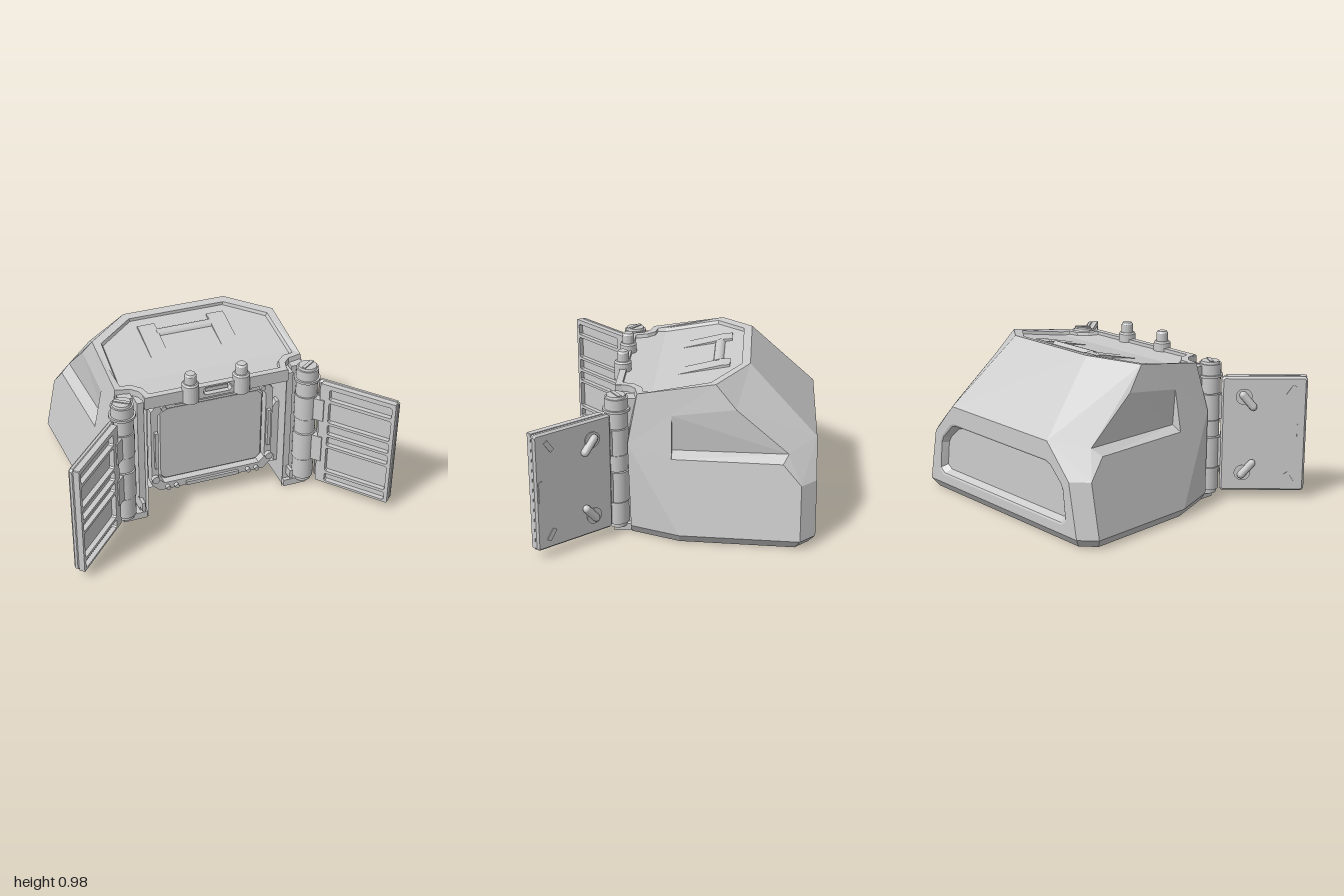
import * as THREE from 'three';

const mat = new THREE.MeshStandardMaterial({ color: 0xcccccc, side: THREE.DoubleSide, flatShading: true });
const smooth = new THREE.MeshStandardMaterial({ color: 0xcccccc });
const V = (a) => new THREE.Vector3(...a);
const flip = (p) => [-p[0], p[1], p[2]];
const CENTRE = new THREE.Vector3(0, 0.4, -0.2);

// Flat polygon in space (with optional holes) -> triangles facing away from the body centre
function face(out, pts, holes = []) {
  const p = pts.map(V), n = new THREE.Vector3(), mid = new THREE.Vector3();
  p.forEach((a, i) => { n.add(a.clone().cross(p[(i + 1) % p.length])); mid.addScaledVector(a, 1 / p.length); });
  n.normalize();
  if (n.dot(mid.sub(CENTRE)) < 0) n.negate();
  const u = new THREE.Vector3(0, 1, 0);
  if (Math.abs(n.y) > 0.9) u.set(1, 0, 0);
  u.cross(n).normalize();
  const v = n.clone().cross(u);
  const flat = (l) => l.map((a) => new THREE.Vector2(a.dot(u), a.dot(v)));
  const h = holes.map((l) => l.map(V)), all = [p, ...h].flat();
  for (const [a, b, c] of THREE.ShapeUtils.triangulateShape(flat(p), h.map(flat))) {
    const m = all[b].clone().sub(all[a]).cross(all[c].clone().sub(all[a]));
    for (const k of m.dot(n) > 0 ? [a, b, c] : [a, c, b]) out.push(...all[k].toArray());
  }
}
function faceMesh(name, build) {
  const out = [];
  build((p, h) => face(out, p, h), (p) => { face(out, p); face(out, p.map(flip)); });
  const g = new THREE.BufferGeometry();
  g.setAttribute('position', new THREE.Float32BufferAttribute(out, 3));
  g.computeVertexNormals();
  const m = new THREE.Mesh(g, mat);
  m.name = name;
  return m;
}
// Closed outline from its right half, and a band of quads joining two outlines
const loop = (half) => [...half, ...half.map(flip).reverse()];
const band = (f, a, b) => a.forEach((p, i) => { const j = (i + 1) % a.length; f([p, a[j], b[j], b[i]]); });

function add(parent, name, geo, x = 0, y = 0, z = 0, m = mat) {
  const mesh = new THREE.Mesh(geo, m);
  mesh.name = name;
  mesh.position.set(x, y, z);
  parent.add(mesh);
  return mesh;
}
const box = (g, name, x0, x1, y0, y1, z0, z1) =>
  add(g, name, new THREE.BoxGeometry(x1 - x0, y1 - y0, z1 - z0), (x0 + x1) / 2, (y0 + y1) / 2, (z0 + z1) / 2);

function chamferRect(x0, x1, y0, y1, c, Type = THREE.Shape) {
  return new Type([[x0 + c, y0], [x1 - c, y0], [x1, y0 + c], [x1, y1 - c], [x1 - c, y1], [x0 + c, y1], [x0, y1 - c], [x0, y0 + c]]
    .map((a) => new THREE.Vector2(...a)));
}
const plate = (shape, depth, bevel = 0) => new THREE.ExtrudeGeometry(shape, {
  depth, bevelEnabled: bevel > 0, bevelSize: bevel, bevelThickness: bevel, bevelOffset: -bevel, bevelSegments: 1 });

// Copy of a group reflected in x, with its faces turned the right way round
function mirrored(src) {
  const out = new THREE.Group();
  out.name = src.name;
  src.updateMatrixWorld(true);
  src.traverse((o) => {
    if (!o.isMesh) return;
    const g = (o.geometry.index ? o.geometry.toNonIndexed() : o.geometry.clone()).applyMatrix4(o.matrixWorld).scale(-1, 1, 1);
    for (const a of Object.values(g.attributes)) {
      for (let i = 0; i < a.count; i += 3) for (let k = 0; k < a.itemSize; k++) {
        const t = a.getComponent(i + 1, k);
        a.setComponent(i + 1, k, a.getComponent(i + 2, k));
        a.setComponent(i + 2, k, t);
      }
    }
    add(out, o.name, g, 0, 0, 0, o.material);
  });
  return out;
}

function buildShell(root) {
  const roofY = (z) => 0.87 + Math.max(0, 0.15 - z) * 0.1875;
  const onRoof = (drop) => ([x, z]) => [x, roofY(z) - drop, z];
  const rim = [[0.33, -0.41], [0.588, -0.22], [0.588, 0.15], [0.585, 0.23], [0.5, 0.25], [0.46, 0.29], [0.44, 0.37]].map(onRoof(0));
  const inner = [[0.31, -0.36], [0.54, -0.19], [0.55, 0.15], [0.545, 0.2], [0.48, 0.21], [0.43, 0.26], [0.41, 0.33]];
  const [Tb, T, T1, T2] = rim;
  // leaning plane of the main side panel
  const onSide = (y, z) => [0.754 - 0.199 * (y - 0.055) - 0.05 * (z + 0.02), y, z];
  const base = [[0.7, 0.055, -0.81], onSide(0.055, -0.72), onSide(0.055, -0.02), [0.645, 0.055, 0.27]];
  const foot = [[0.67, 0, -0.77], [0.75, 0, -0.69], [0.715, 0, -0.02], [0.605, 0, 0.27]];
  const [B0, Q, R, F] = base;
  const P = onSide(0.38, -0.72), A = onSide(0.575, 0.285), B1 = [0.635, 0.38, -0.81], B2 = [0.45, 0.575, -0.81];
  // side pocket corners
  const pf = onSide(0.5, 0.03), W1 = onSide(0.75, 0.03), W0 = [0.595, 0.53, 0.03];
  const E1 = onSide(0.8, -0.34), E2 = onSide(0.5, -0.612), C1 = [0.635, 0.54, -0.645];
  const win = loop([[0.57, 0.11, -0.81], [0.61, 0.14, -0.81], [0.59, 0.32, -0.81], [0.57, 0.36, -0.81], [0.48, 0.45, -0.81], [0.44, 0.465, -0.81]]);
  const shrink = (k, z) => win.map(([x, y]) => [x * (1 - k * 0.6), 0.29 + (y - 0.29) * (1 - k * 2), z]);

  root.add(faceMesh('shell', (f, both) => {
    both([A, T2, T1, T]);
    both([T, E1, W1, A]);
    both([A, W1, pf, R]);
    both([pf, E2, P, Q, R]);
    both([A, R, F]);
    both([T, Tb, B2, B1, P, E2, C1, E1]);
    both([P, Q, B0, B1]);
    for (let i = 0; i < 3; i++) both([base[i], base[i + 1], foot[i + 1], foot[i]]);
    both([foot[3], F, A, T2, [0.5, 0.87, 0.25], [0.5, 0, 0.25]]);
    f([Tb, flip(Tb), flip(B2), B2]);
    f([B0, foot[0], flip(foot[0]), flip(B0)]);
    f(loop([B0, B1, B2]), [win]);
    f(loop([...foot, [0.45, 0, 0.27], [0.45, 0, -0.42]]));
    // curved notch around the hinge column
    for (let i = 4; i < 6; i++) both([rim[i], rim[i + 1], [rim[i + 1][0], 0, rim[i + 1][2]], [rim[i][0], 0, rim[i][2]]]);
  }));
  root.add(faceMesh('sidePocket', (f, both) => {
    both([W0, W1, E1, C1]);
    both([pf, E2, C1, W0]);
    both([pf, W1, W0]);
  }));
  root.add(faceMesh('rearWindow', (f) => {
    const edge = shrink(0.03, -0.805), floor = shrink(0.09, -0.765);
    band(f, win, edge);
    band(f, edge, floor);
    f(floor);
  }));
  root.add(faceMesh('roof', (f) => {
    const half = inner.map(([x, z]) => onRoof(0.02)([x * 0.98, z]));
    const top = loop(inner.map(onRoof(0)));
    f(loop(rim), [top]);
    band(f, top, loop(half));
    f(loop(half.slice(0, 3)));
    f(loop(half.slice(2)));
  }));
  // cavity: side walls, ceiling of the underside recess, and the rear walls
  root.add(faceMesh('cavity', (f, both) => {
    both([[0.45, 0, 0.3], [0.45, 0.84, 0.3], [0.45, 0.84, -0.42], [0.45, 0, -0.42]]);
    f(loop([[0.45, 0.12, 0.25], [0.45, 0.12, -0.42]]));
    f(loop([[0.45, 0, -0.42], [0.45, 0.12, -0.42]]));
    f(loop([[0.45, 0.12, 0.08], [0.45, 0.84, 0.08]]));
  }));
}

function buildRoofParts(root) {
  // carrying handle on the sloped roof
  const handle = new THREE.Group();
  handle.name = 'roofHandle';
  for (const s of [-1, 1]) {
    const wedge = new THREE.Shape([[0.02, 0.875], [-0.29, 0.925], [-0.29, 0.945], [-0.24, 0.94]].map(([z, y]) => new THREE.Vector2(-z, y)));
    add(handle, 'handleWedge', plate(wedge, 0.11).rotateY(Math.PI / 2), s * 0.225 - 0.055, 0, 0);
  }
  add(handle, 'handleBar', new THREE.CylinderGeometry(0.035, 0.035, 0.36, 12).rotateZ(Math.PI / 2), 0, 0.905, -0.22, smooth);
  root.add(handle);
  // front lintel with a slot
  const lintel = chamferRect(-0.45, 0.45, 0.79, 0.87, 0.005);
  lintel.holes.push(chamferRect(-0.09, 0.09, 0.81, 0.86, 0.015, THREE.Path));
  add(root, 'lintel', plate(lintel, 0.04), 0, 0, 0.33);
  box(root, 'slotBar', -0.07, 0.07, 0.822, 0.846, 0.3, 0.355);
  for (const x of [-0.165, 0.153]) {
    const pts = [[0, 0.785], [0.052, 0.785], [0.052, 0.9], [0.044, 0.91], [0.036, 0.91], [0.036, 0.96], [0.028, 0.972], [0, 0.972]];
    add(root, 'roofPin', new THREE.LatheGeometry(pts.map((p) => new THREE.Vector2(...p)), 20), x, 0, 0.355);
  }
}

function buildScreen(root) {
  const g = new THREE.Group();
  g.name = 'screenUnit';
  g.position.z = 0.05;
  const frame = chamferRect(-0.39, 0.39, 0.115, 0.755, 0.05);
  frame.holes.push(chamferRect(-0.345, 0.345, 0.165, 0.71, 0.035, THREE.Path));
  add(g, 'screenFrame', plate(frame, 0.07), 0, 0, 0.17);
  add(g, 'screen', plate(chamferRect(-0.335, 0.335, 0.175, 0.7, 0.035), 0.025, 0.01), 0, 0, 0.18);
  for (const s of [-1, 1]) {
    for (const [x, y, r] of [[0.37, 0.215, 0.024], [0.315, 0.73, 0.016], [0.235, 0.135, 0.014], [0.29, 0.135, 0.014]])
      add(g, 'screenBolt', new THREE.CylinderGeometry(r, r, 0.03, 14).rotateX(Math.PI / 2), s * x, y, 0.25);
    box(g, 'sideGrip', s * 0.362 - 0.01, s * 0.362 + 0.01, 0.3, 0.56, 0.23, 0.265);
    const rail = new THREE.Shape([[0.45, 0.12], [0.45, 0.57], [0.43, 0.57], [0.4, 0.52], [0.4, 0.2], [0.43, 0.16], [0.43, 0.12]]
      .map(([x, y]) => new THREE.Vector2(s * x, y)));
    add(g, 'sideRail', plate(rail, 0.05), 0, 0, 0.15);
  }
  box(g, 'lowerLatch', -0.17, 0.17, 0.12, 0.145, 0.23, 0.255);
  box(g, 'upperLatch', -0.24, 0.24, 0.735, 0.75, 0.23, 0.255);
  root.add(g);
}

// Hinge, jamb and open door of the +x side
function buildDoorSide(angle) {
  const side = new THREE.Group();
  side.name = 'doorAssembly';
  const hx = 0.582, hz = 0.352;
  box(side, 'doorJamb', 0.45, 0.49, 0, 0.83, 0.25, 0.35);
  box(side, 'hingeFoot', 0.45, 0.6, 0, 0.045, 0.24, 0.375);
  box(side, 'hingeBacking', 0.5, 0.58, 0.05, 0.84, 0.24, 0.3);
  box(side, 'jambCatch', 0.472, 0.492, 0.08, 0.14, 0.33, 0.41);
  [[0.035, 0.06, 0.055], [0.06, 0.2, 0.066], [0.205, 0.395, 0.07], [0.4, 0.5, 0.064], [0.505, 0.665, 0.07], [0.67, 0.77, 0.066], [0.77, 0.785, 0.08], [0.785, 0.85, 0.068]]
    .forEach(([y0, y1, r]) => add(side, 'hingeBarrel', new THREE.CylinderGeometry(r, r, y1 - y0, 24), hx, (y0 + y1) / 2, hz, smooth));
  add(side, 'hingeCap', new THREE.CylinderGeometry(0.054, 0.058, 0.015, 24), hx, 0.857, hz, smooth);
  add(side, 'hingeCapKey', new THREE.BoxGeometry(0.1, 0.008, 0.022), hx, 0.867, hz).rotation.y = 0.6;

  const door = new THREE.Group();
  door.name = 'door';
  door.position.set(hx, 0, hz);
  door.rotation.y = -angle;
  const y0 = 0.055, y1 = 0.775, x1 = 0.585;
  // outer skin and inner ribbed frame
  add(door, 'doorSkin', plate(chamferRect(0.07, x1, y0, y1, 0.015), 0.015, 0.012), 0, 0, -0.037);
  const frame = chamferRect(0.1, x1 - 0.003, y0, y1, 0.004);
  for (const [a, b] of [[0.07, 0.125], [0.145, 0.32], [0.338, 0.402], [0.42, 0.49], [0.508, 0.65], [0.672, 0.745]])
    frame.holes.push(chamferRect(0.16, 0.56, a, b, 0.008, THREE.Path));
  add(door, 'doorRibs', plate(frame, 0.035), 0, 0, -0.015);
  for (const [a, b] of [[0.21, 0.39], [0.51, 0.66]]) box(door, 'hingeStrap', 0.04, 0.13, a, b, -0.04, 0.028);
  // turn latches, slots and the grip on the outer face
  for (const [y, s] of [[0.63, 1], [0.2, -1]]) {
    add(door, 'latchDisc', new THREE.CylinderGeometry(0.045, 0.05, 0.016, 20).rotateX(Math.PI / 2), 0.205, y + s * 0.025, -0.053);
    add(door, 'latchLever', new THREE.CapsuleGeometry(0.024, 0.095, 4, 10), 0.23, y, -0.066, smooth).rotation.z = s * 0.7;
    add(door, 'doorSlot', new THREE.BoxGeometry(0.028, 0.075, 0.012), 0.49, y + s * 0.06, -0.049).rotation.z = -s * 0.6;
  }
  add(door, 'doorGrip', plate(chamferRect(0.53, 0.565, 0.345, 0.49, 0.012), 0.008), 0, 0, -0.054);
  side.add(door);
  return side;
}

export function createModel() {
  const root = new THREE.Group(), body = new THREE.Group();
  root.name = 'armouredPod';
  body.name = 'body';
  // the doors open unevenly, so the body sits slightly off centre
  body.position.x = 0.01;
  buildShell(body);
  buildRoofParts(body);
  buildScreen(body);
  body.add(buildDoorSide(0.86), mirrored(buildDoorSide(0.82)));
  root.add(body);
  return root;
}
